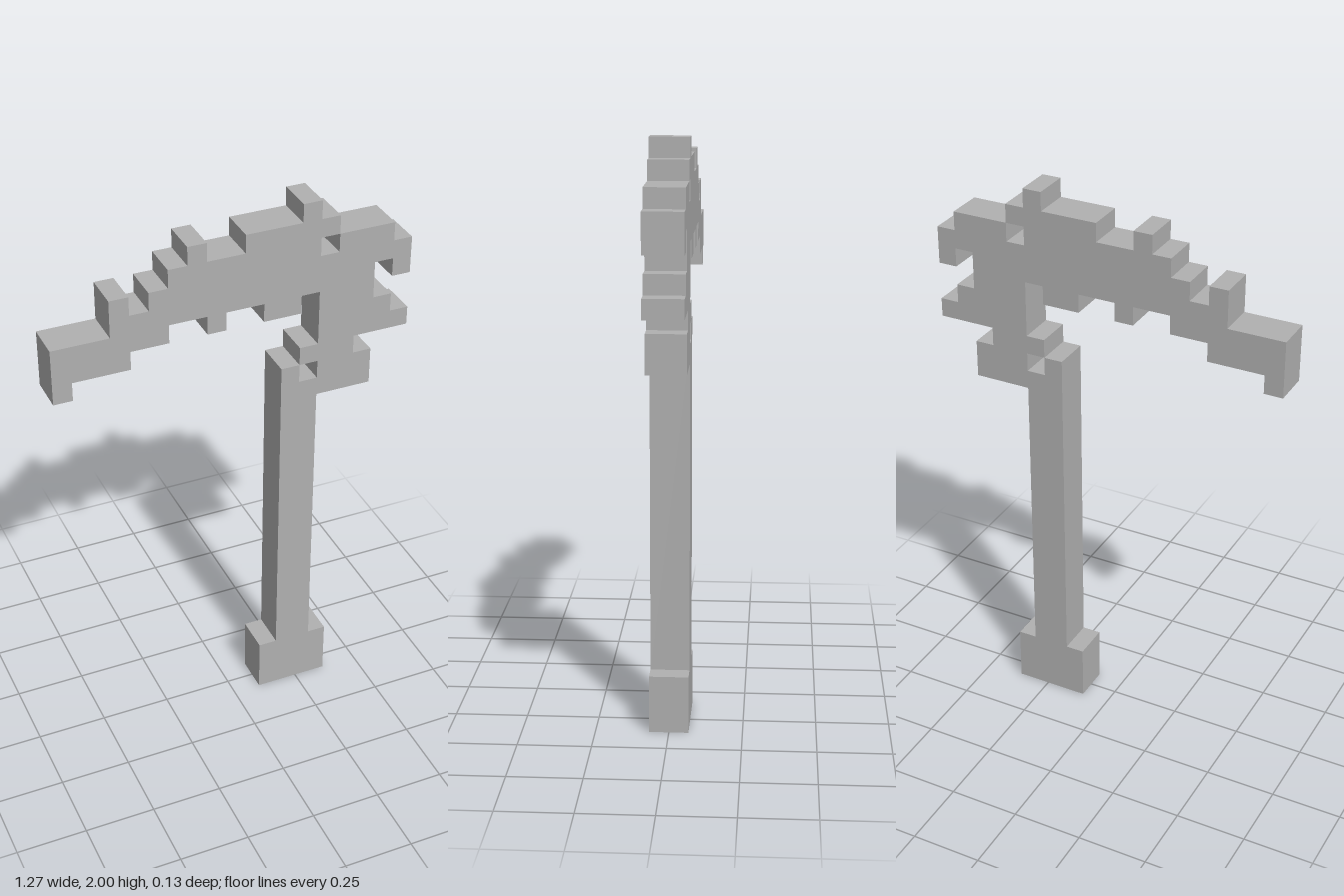
import * as THREE from 'three';

const U = 2 / 30;      // one pixel of the blocky design
const COLS = 19;       // width in pixels
const DEPTH = 2;       // thickness in pixels

// Extrudes a pixel outline given as [column, row] corners, counter-clockwise
function pixelPart(name, corners, material) {
  const shape = new THREE.Shape(
    corners.map(([c, r]) => new THREE.Vector2((c - COLS / 2) * U, r * U))
  );
  const geometry = new THREE.ExtrudeGeometry(shape, { depth: DEPTH * U, bevelEnabled: false });
  geometry.translate(0, 0, -DEPTH * U / 2);
  const mesh = new THREE.Mesh(geometry, material);
  mesh.name = name;
  return mesh;
}

export function createModel() {
  const grey = new THREE.MeshStandardMaterial({ color: 0xb0b0b0 });
  grey.name = 'grey';

  const group = new THREE.Group();
  group.name = 'pickaxe';

  // Wide block at the foot of the handle
  group.add(pixelPart('pommel', [[11, 0], [15, 0], [15, 3], [11, 3]], grey));

  // Long handle with a stepped top
  group.add(pixelPart('handle', [
    [12, 3], [14, 3], [14, 20], [13, 20], [13, 21], [12, 21],
  ], grey));

  // Curved, jagged head
  group.add(pixelPart('head', [
    // underside, from the left tip to the neck
    [0, 25], [0, 22], [1, 22], [1, 23], [4, 23], [4, 24], [6, 24], [6, 25],
    [8, 25], [8, 24], [9, 24], [9, 25], [11, 25], [11, 24], [13, 24], [13, 25],
    [14, 25], [14, 22], [13, 22], [13, 21], [14, 21], [14, 19],
    // right end with its two prongs
    [17, 19], [17, 21], [16, 21], [16, 22], [19, 22], [19, 23], [18, 23], [18, 24],
    [17, 24], [17, 26], [18, 26], [18, 25], [19, 25], [19, 27], [18, 27], [18, 28],
    // small square opening that meets the top edge at a corner
    [15, 28], [15, 27], [14, 27], [14, 28], [15, 28],
    // top edge, back to the left tip
    [15, 29], [14, 29], [14, 30], [13, 30], [13, 29], [10, 29], [10, 28], [8, 28],
    [8, 29], [7, 29], [7, 28], [6, 28], [6, 27], [5, 27], [5, 26], [4, 26],
    [4, 27], [3, 27], [3, 25],
  ], grey));

  return group;
}
